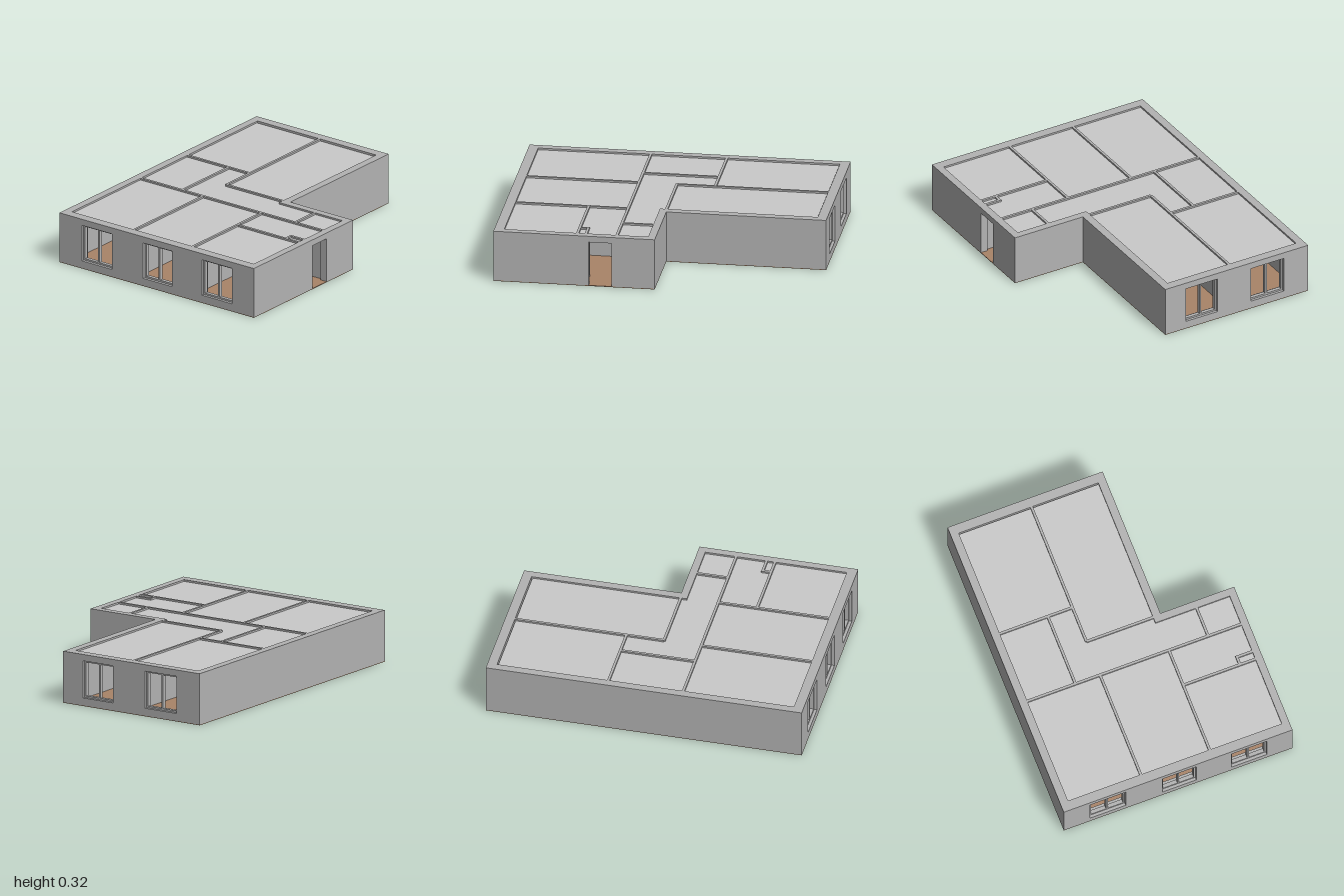
import * as THREE from 'three';

const mat = (name, color) => {
  const m = new THREE.MeshStandardMaterial({ color });
  m.name = name;
  return m;
};

export function createModel() {
  const wallGrey = mat('wall grey', 0xb3b3b3);
  const ceilingGrey = mat('ceiling light grey', 0xcacaca);
  const floorTan = mat('floor tan', 0xa98468);

  const H = 0.32, BASE = 0.004, W = 1.955, D = 1.475;
  const DOOR_TOP = 0.282, SILL = 0.05, WIN_TOP = 0.28;

  // The plan is drawn square, from its back corner, then turned slightly.
  const model = new THREE.Group();
  model.name = 'apartment';
  const plan = new THREE.Group();
  plan.name = 'floorPlan';
  plan.position.set(-0.96, 0, -0.755);
  plan.rotation.y = -0.0256;
  model.add(plan);

  const add = (name, geo, material, parent = plan) => {
    const m = new THREE.Mesh(geo, material);
    m.name = name;
    parent.add(m);
    return m;
  };

  // Horizontal slab from a plan outline
  function slab(name, points, top, thick, material) {
    const shape = new THREE.Shape(points.map(p => new THREE.Vector2(...p)));
    const geo = new THREE.ExtrudeGeometry(shape, { depth: thick, bevelEnabled: false });
    geo.rotateX(Math.PI / 2);
    add(name, geo, material).position.y = top;
  }

  // Upright wall: axis 'x' or 'z', from a to b, centred on c, thickness t
  function wall(name, axis, a, b, c, t, { doors = [], windows = [] } = {}) {
    const g = new THREE.Group();
    g.name = name;
    plan.add(g);

    const s = new THREE.Shape();
    s.moveTo(a, BASE);
    for (const [d0, d1] of doors) {
      s.lineTo(d0, BASE);
      s.lineTo(d0, DOOR_TOP);
      s.lineTo(d1, DOOR_TOP);
      s.lineTo(d1, BASE);
    }
    s.lineTo(b, BASE);
    s.lineTo(b, H);
    s.lineTo(a, H);
    s.closePath();
    for (const [w0, w1] of windows) {
      s.holes.push(new THREE.Path([
        [w0, SILL], [w0, WIN_TOP], [w1, WIN_TOP], [w1, SILL],
      ].map(p => new THREE.Vector2(...p))));
    }
    add(name + 'Body', new THREE.ExtrudeGeometry(s, { depth: t, bevelEnabled: false }), wallGrey, g);

    // Window frame with a centre post
    for (const [w0, w1] of windows) {
      const f = 0.011, depth = 0.024, mid = (SILL + WIN_TOP) / 2;
      const bar = (n, w, h, x, y) =>
        add(n, new THREE.BoxGeometry(w, h, depth), wallGrey, g).position.set(x, y, t / 2);
      for (const x of [w0 + f / 2, (w0 + w1) / 2, w1 - f / 2])
        bar('windowPost', f, WIN_TOP - SILL, x, mid);
      for (const y of [SILL + f / 2, WIN_TOP - f / 2])
        bar('windowRail', w1 - w0, f, (w0 + w1) / 2, y);
    }

    if (axis === 'x') g.position.z = c - t / 2;
    else {
      g.rotation.y = -Math.PI / 2;
      g.position.x = c + t / 2;
    }
  }

  // Floor and ceiling
  slab('floor', [[0, 0], [W, 0], [W, 1], [0.982, 1], [0.982, D], [0, D]], BASE, BASE, floorTan);
  slab('ceiling', [[0.055, 0.045], [1.892, 0.045], [1.892, 0.955], [0.94, 0.955],
    [0.94, 1.435], [0.055, 1.435]], 0.309, 0.004, ceilingGrey);

  // Outer walls
  const sideWindows = [[0.17, 0.4], [0.635, 0.855], [1.08, 1.31]];
  wall('rightOuterWall', 'z', 0, D, 0.03, 0.06, { windows: sideWindows });
  wall('leftOuterWall', 'z', 0, 1, W - 0.029, 0.058, { windows: sideWindows.slice(0, 2) });
  wall('backOuterWall', 'x', 0.06, W - 0.058, 0.025, 0.05);
  wall('frontOuterWall', 'x', 0.06, 0.982, D - 0.023, 0.046, { doors: [[0.58, 0.72]] });
  wall('notchFrontWall', 'x', 0.982, W - 0.058, 0.975, 0.05);
  wall('notchSideWall', 'z', 0.95, D - 0.046, 0.959, 0.046);

  // Inner partitions: axis, from, to, centre line, doors
  const partitions = [
    ['z', 0.05, 1.43, 0.745, [[0.38, 0.5], [0.67, 0.8], [1.03, 1.16]]],
    ['z', 0.05, 0.52, 1.208, []],
    ['z', 0.52, 0.95, 0.975, [[0.67, 0.8]]],
    ['z', 0.964, 1.43, 0.505, [[1.03, 1.16]]],
    ['z', 1.33, 1.43, 0.557, []],
    ['x', 0.06, 0.745, 0.52, []],
    ['x', 0.06, 0.745, 0.964, []],
    ['x', 0.745, 1.208, 0.361, [[0.8, 0.93]]],
    ['x', 0.975, 1.897, 0.52, [[1.25, 1.38]]],
    ['x', 0.745, 0.937, 1.217, [[0.78, 0.9]]],
    ['x', 0.505, 0.565, 1.33, []],
  ];
  for (const [axis, a, b, c, doors] of partitions)
    wall('partition', axis, a, b, c, 0.016, { doors });

  return model;
}
